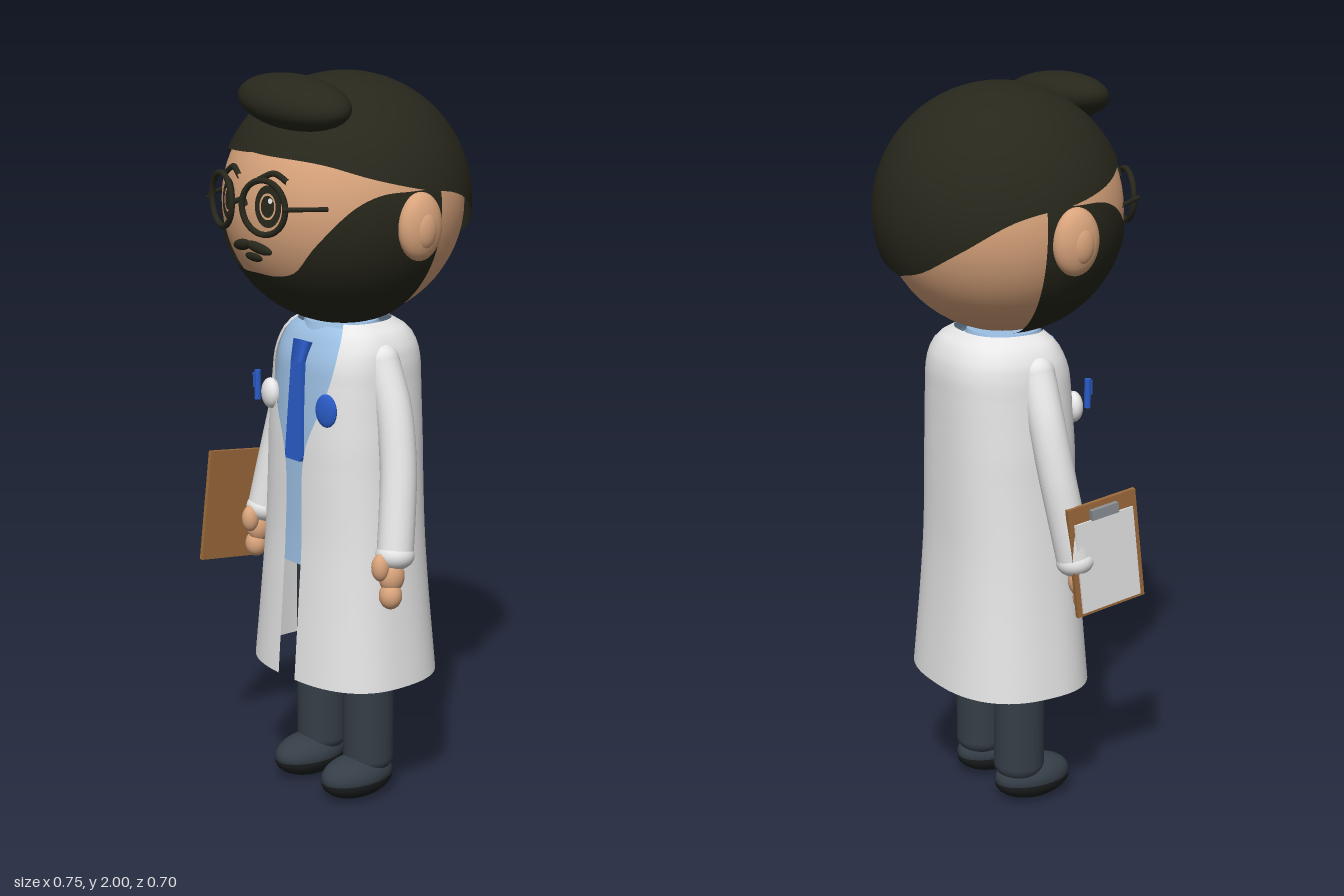
import * as THREE from 'three';
import { ParametricGeometry } from 'three/addons/geometries/ParametricGeometry.js';

const mat = (name, color, side = THREE.FrontSide) => {
  const m = new THREE.MeshStandardMaterial({ color, side });
  m.name = name;
  return m;
};
const V = (x, y, z) => new THREE.Vector3(x, y, z);
const DEG = Math.PI / 180;
const HEAD = V(0, 1.655, -0.005);

export function createModel() {
  const skin = mat('skin', 0xd9a47c);
  const hair = mat('hair black', 0x27271c, THREE.DoubleSide);
  const white = mat('coat white', 0xe6e6e6, THREE.DoubleSide);
  const shirtBlue = mat('shirt blue', 0x9dc0e4, THREE.DoubleSide);
  const tieBlue = mat('tie blue', 0x2a5cc8);
  const slate = mat('trouser slate', 0x353e47);
  const sole = mat('shoe black', 0x1b1d1e);
  const wood = mat('clipboard brown', 0x9c6a3a);
  const metal = mat('clip grey', 0x8b8f94);

  const model = new THREE.Group();
  model.name = 'doctor';
  const group = (name) => {
    const g = new THREE.Group();
    g.name = name;
    model.add(g);
    return g;
  };
  const add = (parent, name, geo, material, pos = [0, 0, 0], rot = [0, 0, 0], scale = [1, 1, 1]) => {
    const m = new THREE.Mesh(geo, material);
    m.name = name;
    m.position.set(...pos);
    m.rotation.set(...rot);
    m.scale.set(...scale);
    parent.add(m);
    return m;
  };
  const ball = new THREE.SphereGeometry(1, 32, 20);
  const tube = (pts, r, n = 24) => new THREE.TubeGeometry(new THREE.CatmullRomCurve3(pts), n, r, 10);

  // Head with shells for hair and beard
  const head = group('head');
  add(head, 'skull', new THREE.SphereGeometry(0.32, 48, 32), skin, HEAD.toArray());

  // Shell patch of a sphere; edge gives [degrees from front, height] pairs
  const shell = (r, maxDeg, edge, poleAngle) => {
    const line = new THREE.CubicInterpolant(edge.map((e) => e[0]), edge.map((e) => e[1]), 1);
    return new ParametricGeometry((u, v, t) => {
      const deg = (2 * u - 1) * maxDeg;
      const cut = Math.acos((line.evaluate(Math.abs(deg))[0] - HEAD.y) / r);
      const th = poleAngle > 1 ? poleAngle + (cut - poleAngle) * v : cut + (poleAngle - cut) * v;
      const a = deg * DEG;
      t.set(r * Math.sin(th) * Math.sin(a), r * Math.cos(th), r * Math.sin(th) * Math.cos(a));
    }, 72, 24);
  };
  add(head, 'hairCap', shell(0.335, 180, [[0, 1.802], [40, 1.785], [65, 1.748], [90, 1.715],
    [105, 1.702], [117, 1.68], [139, 1.605], [160, 1.54], [180, 1.512]], 0.005), hair, [0, HEAD.y, -0.012]);
  add(head, 'beard', shell(0.328, 101, [[0, 1.49], [15, 1.49], [27, 1.51], [38, 1.58], [55, 1.675],
    [67, 1.708], [85, 1.715], [101, 1.715]], Math.PI * 0.985), hair, HEAD.toArray());
  add(head, 'quiff', ball, hair, [0.055, 1.928, 0.2], [0.15, 0.1, -0.12], [0.18, 0.066, 0.1]);

  // Point on the face, and a part laid tangent to it
  const onFace = (x, y, r) => {
    const dy = y - HEAD.y;
    return V(x, y, HEAD.z + Math.sqrt(r * r - x * x - dy * dy));
  };
  const stick = (name, geo, material, x, y, r, scale, spin = 0) => {
    const m = add(head, name, geo, material, onFace(x, y, r).toArray(), [0, 0, 0], scale);
    m.lookAt(m.position.clone().multiplyScalar(2).sub(HEAD));
    m.rotateZ(spin);
  };

  for (const s of [-1, 1]) {
    add(head, 'ear', ball, skin, [s * 0.328, 1.625, 0.012], [0, 0, 0], [0.04, 0.088, 0.066]);
    add(head, 'innerEar', ball, skin, [s * 0.352, 1.62, 0.015], [0, 0, 0], [0.021, 0.05, 0.034]);
    stick('eye', new THREE.CircleGeometry(1, 28), hair, s * 0.083, 1.675, 0.324, [0.042, 0.054, 1]);
    stick('iris', new THREE.RingGeometry(0.82, 1, 28), skin, s * 0.083, 1.675, 0.3255, [0.026, 0.034, 1]);
    stick('eyeGlint', new THREE.CircleGeometry(0.007, 14), white, s * 0.083 + 0.008, 1.69, 0.3265, [1, 1, 1]);
    add(head, 'eyebrow', tube([onFace(s * 0.04, 1.738, 0.322), onFace(s * 0.085, 1.757, 0.322),
      onFace(s * 0.128, 1.738, 0.322)], 0.008), hair);
    stick('moustache', ball, hair, s * 0.035, 1.562, 0.322, [0.045, 0.015, 0.012], -s * 0.2);
    // Spectacles
    add(head, 'rim', new THREE.TorusGeometry(0.069, 0.008, 10, 40), hair,
      [s * 0.088, 1.675, 0.326], [0, s * 0.26, 0]);
    add(head, 'temple', tube([V(s * 0.158, 1.677, 0.32), V(s * 0.222, 1.677, 0.225)], 0.006, 2), hair);
  }
  add(head, 'bridge', tube([V(-0.024, 1.678, 0.335), V(0, 1.686, 0.325), V(0.024, 1.678, 0.335)], 0.007), hair);
  stick('mouth', ball, hair, 0, 1.533, 0.32, [0.035, 0.013, 0.008]);

  // Body loft rows: height, half width, front depth, back depth, half front opening
  const rows = [
    [0.36, 0.265, 0.195, 0.225, 0.035], [0.6, 0.242, 0.178, 0.207, 0.035], [0.75, 0.23, 0.168, 0.199, 0.035],
    [0.95, 0.217, 0.165, 0.198, 0.035], [1.02, 0.214, 0.164, 0.198, 0.05], [1.1, 0.208, 0.16, 0.198, 0.085],
    [1.18, 0.202, 0.154, 0.198, 0.114], [1.24, 0.197, 0.146, 0.196, 0.125], [1.28, 0.187, 0.13, 0.186, 0.122],
    [1.315, 0.164, 0.11, 0.164, 0.112], [1.34, 0.125, 0.085, 0.125, 0.09]];
  const body = new THREE.CubicInterpolant(rows.map((r) => r[0]), rows.flatMap((r) => r.slice(1)), 4);
  const pow = (v) => Math.sign(v) * Math.abs(v) ** 0.8;
  const loft = (y0, y1, k, open) => new ParametricGeometry((u, v, t) => {
    const y = y0 + (y1 - y0) * v;
    const [rx, front, back, gap] = body.evaluate(y);
    const g = open ? Math.asin((gap / rx) ** 1.25) : 0;
    const a = g + (2 * Math.PI - 2 * g) * u;
    const c = pow(Math.cos(a));
    t.set(k * rx * pow(Math.sin(a)), y, k * c * (c > 0 ? front : back));
  }, 64, 48);

  const torso = group('torso');
  add(torso, 'coat', loft(0.36, 1.34, 1, true), white);
  add(torso, 'shirt', loft(0.68, 1.33, 0.95, false), shirtBlue);
  add(torso, 'collar', new THREE.CylinderGeometry(0.1, 0.122, 0.07, 32), shirtBlue, [0, 1.302, 0], [0, 0, 0], [1, 1, 0.97]);

  // Tie
  const blade = new THREE.Shape([[-0.022, 0.27], [-0.034, 0.01], [-0.03, 0], [0.03, 0], [0.034, 0.01],
    [0.022, 0.27]].map((p) => new THREE.Vector2(...p)));
  add(torso, 'tie', new THREE.ExtrudeGeometry(blade, { depth: 0.014, bevelEnabled: false }), tieBlue,
    [0, 0.97, 0.155], [-0.05, 0, 0]);
  add(torso, 'tieKnot', new THREE.CylinderGeometry(0.036, 0.028, 0.06, 4, 1, false, Math.PI / 4), tieBlue,
    [0, 1.262, 0.138], [-0.3, 0, 0], [1, 1, 0.6]);

  // Chest details
  add(torso, 'badge', ball, tieBlue, [0.12, 1.125, 0.15], [0, 0.3, 0], [0.033, 0.045, 0.012]);
  add(torso, 'pocket', ball, white, [-0.13, 1.125, 0.14], [0, -0.3, 0], [0.038, 0.042, 0.025]);
  add(torso, 'pen', new THREE.CylinderGeometry(0.009, 0.009, 0.08, 14), tieBlue, [-0.13, 1.155, 0.185]);
  add(torso, 'penClip', new THREE.BoxGeometry(0.006, 0.04, 0.012), tieBlue, [-0.13, 1.17, 0.193]);

  for (const s of [-1, 1]) {
    // Arm and hand
    const arm = group(s > 0 ? 'leftArm' : 'rightArm');
    const path = [V(s * 0.165, 1.245, 0), V(s * 0.216, 1.12, 0), V(s * 0.25, 0.98, 0.012),
      V(s * 0.27, 0.85, 0.032), V(s * 0.283, 0.745, 0.05)];
    add(arm, 'sleeve', new THREE.TubeGeometry(new THREE.CatmullRomCurve3(path), 32, 0.049, 20), white);
    add(arm, 'shoulder', ball, white, path[0].toArray(), [0, 0, 0], [0.049, 0.049, 0.049]);
    add(arm, 'cuff', ball, white, [s * 0.283, 0.75, 0.05], [-0.15, 0, s * 0.1], [0.052, 0.04, 0.052]);
    add(arm, 'palm', ball, skin, [s * 0.288, 0.695, 0.065], [0, 0, 0], [0.032, 0.045, 0.036]);
    add(arm, 'fingers', ball, skin, [s * 0.293, 0.645, 0.073], [0, 0, 0], [0.031, 0.037, 0.031]);
    add(arm, 'thumb', ball, skin, [s * 0.283, 0.725, 0.1], [0, 0, 0], [0.024, 0.037, 0.024]);

    // Leg and shoe
    const leg = group(s > 0 ? 'leftLeg' : 'rightLeg');
    add(leg, 'trouser', new THREE.CylinderGeometry(0.07, 0.07, 0.63, 28), slate, [s * 0.102, 0.425, -0.012]);
    add(leg, 'trouserEnd', ball, slate, [s * 0.102, 0.11, -0.012], [0, 0, 0], [0.07, 0.05, 0.07]);
    add(leg, 'shoe', ball, slate, [s * 0.104, 0.065, 0.03], [0, 0, 0], [0.072, 0.055, 0.113]);
    add(leg, 'shoeSole', new THREE.SphereGeometry(1, 32, 10, 0, Math.PI * 2, Math.PI / 2, Math.PI / 2), sole,
      [s * 0.104, 0.058, 0.03], [0, 0, 0], [0.074, 0.058, 0.115]);
  }

  // Clipboard held in the right hand, paper outward
  const board = group('clipboard');
  board.position.set(-0.314, 0.768, 0.125);
  board.rotation.x = -0.12;
  add(board, 'board', new THREE.BoxGeometry(0.012, 0.31, 0.215), wood);
  add(board, 'paper', new THREE.BoxGeometry(0.006, 0.255, 0.185), white, [-0.008, -0.018, 0]);
  add(board, 'clip', new THREE.BoxGeometry(0.016, 0.028, 0.085), metal, [-0.012, 0.125, 0]);
  return model;
}
